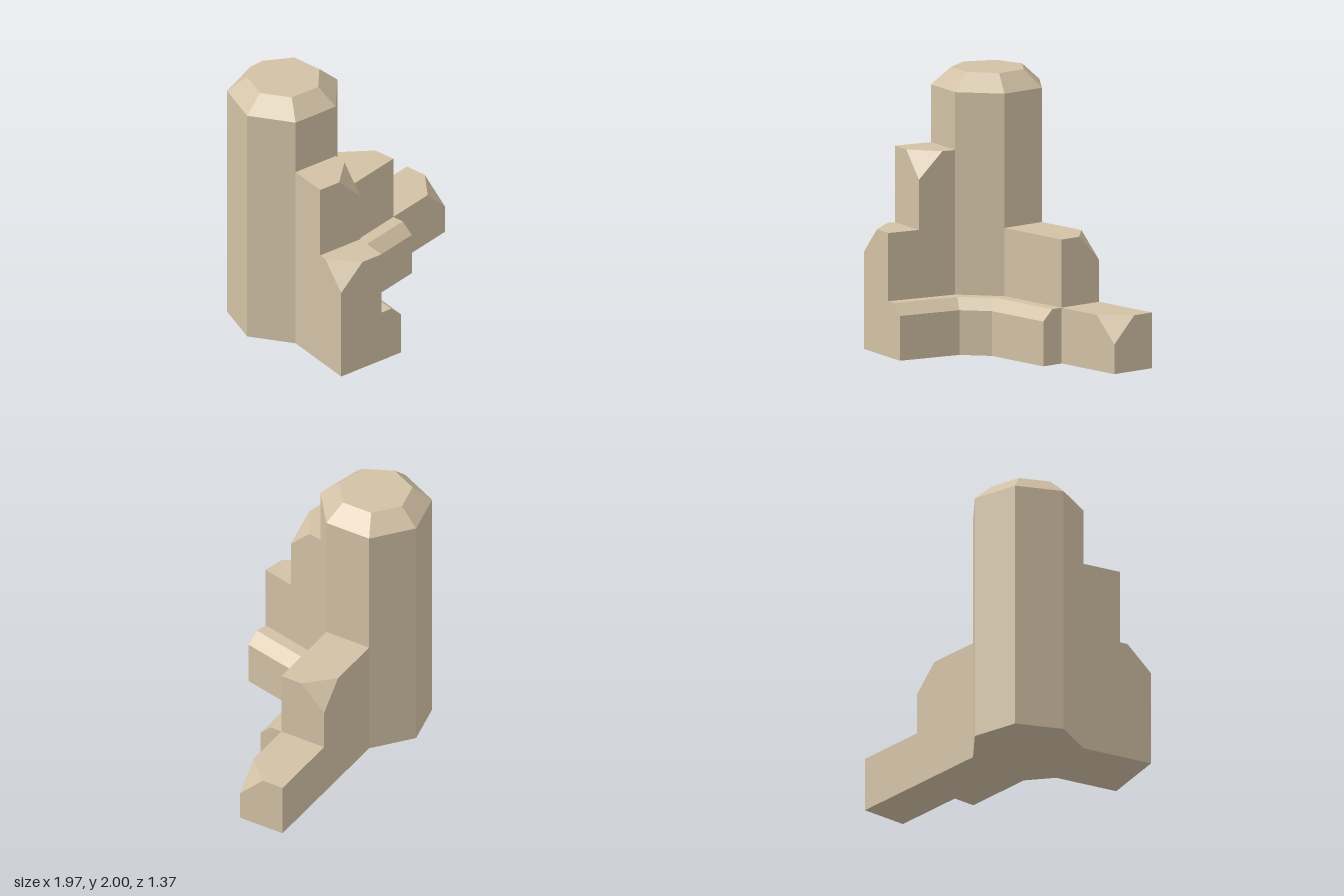
import * as THREE from 'three';
import { ConvexGeometry } from 'three/addons/geometries/ConvexGeometry.js';

const SIDE = (Math.PI * 2) / 7; // angle between neighbouring tower faces
const R = 0.412; // tower radius
const APOTHEM = R * Math.cos(SIDE / 2);
const HALF = R * Math.sin(SIDE / 2); // half the width of a tower face
const CX = -0.573, CZ = -0.288; // tower axis
const CHIP = 0.19;

const stone = new THREE.MeshStandardMaterial({ color: 0xd2c1a5 });
stone.name = 'sandstone';

function mesh(name, geometry) {
  const m = new THREE.Mesh(geometry, stone);
  m.name = name;
  return m;
}

function faceted(geometry) {
  const g = geometry.index ? geometry.toNonIndexed() : geometry;
  g.computeVertexNormals();
  return g;
}

// Block from x0 to x1 with its top outer corner cut off on the given side
function chippedBlock(name, x0, x1, height, side) {
  const points = [];
  for (const x of [x0, x1]) for (const y of [0, height]) for (const z of [-HALF, HALF]) {
    if (x === x1 && y === height && z * side > 0) {
      points.push(
        new THREE.Vector3(x - CHIP, y, z),
        new THREE.Vector3(x, y - CHIP, z),
        new THREE.Vector3(x, y, z - side * CHIP)
      );
    } else points.push(new THREE.Vector3(x, y, z));
  }
  return mesh(name, new ConvexGeometry(points));
}

// Two-step wing leaving the tower at right angles to one of its faces
function wing(name, angle, reach1, height1, reach2, height2) {
  const g = new THREE.Group();
  g.name = name;
  g.position.set(CX, 0, CZ);
  g.rotation.y = -angle;
  g.add(chippedBlock('upperStep', APOTHEM, reach1, height1, -1));
  g.add(chippedBlock('lowerStep', reach1, reach2, height2, 1));
  return g;
}

// Bevelled ledge: one cross-section carried along a mitred path
function ledge(endRight, endFront) {
  const section = [[0, 0], [0.174, 0], [0.174, 0.325], [0.089, 0.405], [0, 0.405]];
  const armAngle = 2 * SIDE;
  const faceTurn = SIDE;
  const n0 = Math.PI / 2, n2 = armAngle - Math.PI / 2; // outward directions of the wing sides
  const at = (angle, along, across) => [
    CX + Math.cos(angle) * along - Math.sin(angle) * across,
    CZ + Math.sin(angle) * along + Math.cos(angle) * across
  ];
  const miter = 1 / Math.cos((n0 - faceTurn) / 2);
  const stations = [
    [at(0, endRight, HALF), n0, 1],
    [at(0, APOTHEM, HALF), (n0 + faceTurn) / 2, miter],
    [at(armAngle, APOTHEM, -HALF), (n2 + faceTurn) / 2, miter],
    [at(armAngle, endFront, -HALF), n2, 1]
  ];
  const n = section.length, position = [], index = [];
  for (const [[x, z], angle, scale] of stations) for (const [out, y] of section) {
    position.push(x + Math.cos(angle) * out * scale, y, z + Math.sin(angle) * out * scale);
  }
  for (let i = 0; i < stations.length - 1; i++) for (let k = 0; k < n; k++) {
    const a = i * n + k, b = i * n + ((k + 1) % n);
    index.push(a, b, b + n, a, b + n, a + n);
  }
  const last = (stations.length - 1) * n;
  for (let k = 1; k < n - 1; k++) {
    index.push(0, k + 1, k, last, last + k, last + k + 1);
  }
  const g = new THREE.BufferGeometry();
  g.setAttribute('position', new THREE.Float32BufferAttribute(position, 3));
  g.setIndex(index);
  return mesh('ledge', faceted(g));
}

export function createModel() {
  const model = new THREE.Group();
  model.name = 'rockColumns';

  // Seven-sided tower with a bevelled top
  const profile = [[0, 0], [R, 0], [R, 1.875], [0.271, 2], [0, 2]].map(([x, y]) => new THREE.Vector2(x, y));
  const tower = mesh('tower', faceted(new THREE.LatheGeometry(profile, 7, -Math.PI / 2)));
  tower.position.set(CX, 0, CZ);
  model.add(tower);

  // Wings two faces apart
  model.add(wing('leftWing', 0, 0.986, 0.9, 1.555, 0.405));
  model.add(wing('frontWing', 2 * SIDE, 0.666, 1.455, 0.917, 0.9));

  // Low ledge in the inner corner between the wings
  model.add(ledge(0.986, 0.917));
  return model;
}
